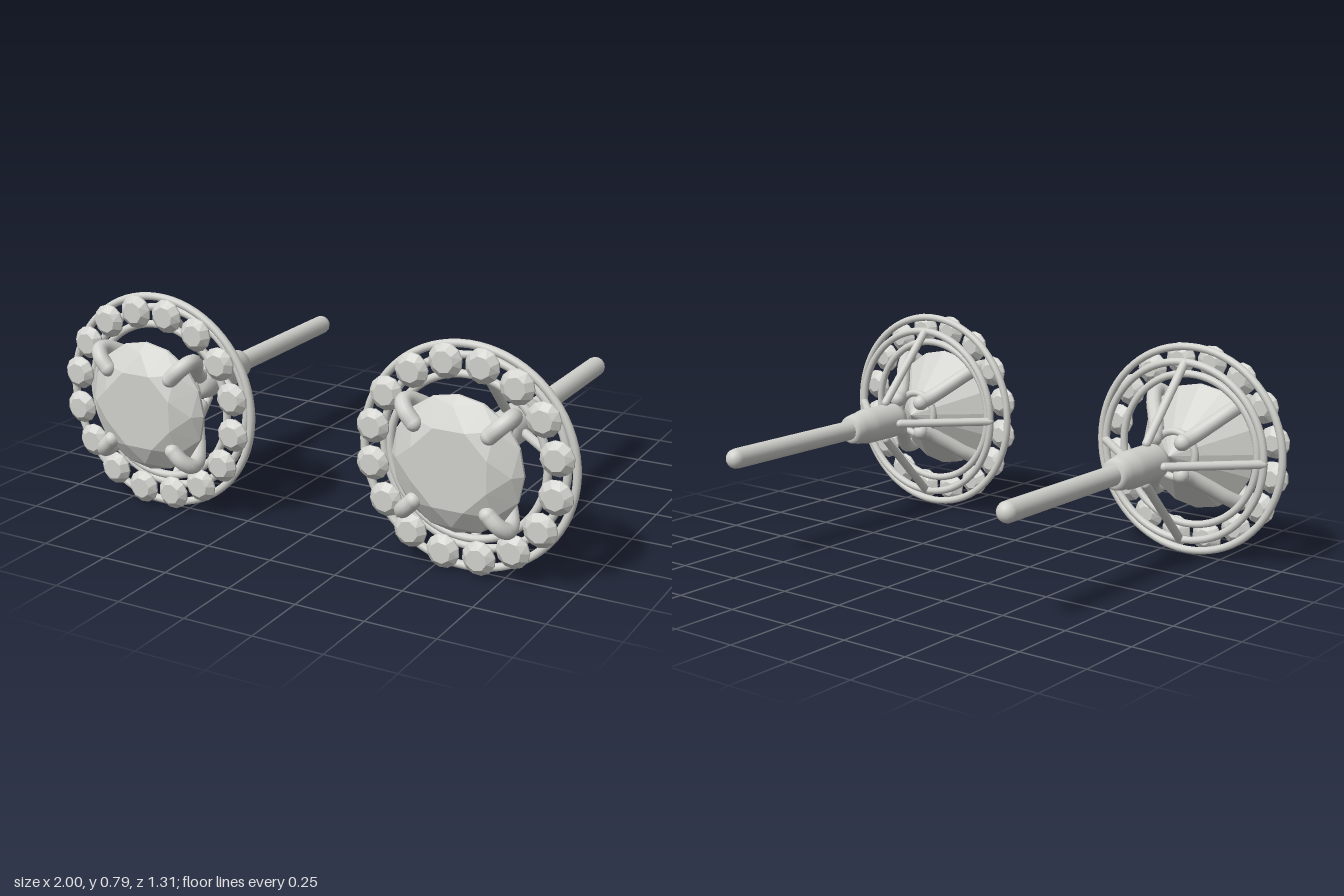
import * as THREE from 'three';
import { ConvexGeometry } from 'three/addons/geometries/ConvexGeometry.js';

const V = (x, y, z) => new THREE.Vector3(x, y, z);

// Points of a regular polygon facing +z
function polygon(n, r, z, turn = 0) {
  return Array.from({ length: n }, (_, i) => {
    const a = ((i + turn) / n) * Math.PI * 2;
    return V(r * Math.cos(a), r * Math.sin(a), z);
  });
}

export function createModel() {
  const metal = new THREE.MeshStandardMaterial({ color: 0xd0d0cc });
  metal.name = 'silver';
  const model = new THREE.Group();
  model.name = 'studEarrings';

  function add(parent, geometry, name) {
    const mesh = new THREE.Mesh(geometry, metal);
    mesh.name = name;
    parent.add(mesh);
    return mesh;
  }

  function ring(parent, radius, tube, z, name) {
    add(parent, new THREE.TorusGeometry(radius, tube, 12, 72), name).position.z = z;
  }

  // Straight wire with rounded ends
  function wire(parent, a, b, radius, name) {
    const dir = b.clone().sub(a);
    const mesh = add(parent, new THREE.CapsuleGeometry(radius, dir.length(), 5, 14), name);
    mesh.position.copy(a).add(b).multiplyScalar(0.5);
    mesh.quaternion.setFromUnitVectors(V(0, 1, 0), dir.normalize());
  }

  // Faceted gems: table, crown, girdle and pavilion
  const centreGem = new ConvexGeometry([
    ...polygon(8, 0.145, 0.645, 0.5),
    ...polygon(8, 0.205, 0.612),
    ...polygon(16, 0.235, 0.58),
    ...polygon(16, 0.235, 0.57),
    V(0, 0, 0.36),
  ]);
  const haloGem = new ConvexGeometry([
    ...polygon(8, 0.038, 0.024, 0.5),
    ...polygon(12, 0.06, 0.003),
    ...polygon(12, 0.06, -0.003),
    ...polygon(8, 0.03, -0.027),
  ]);

  // Claw that rises from the base and hooks over the gem
  const clawPoints = [
    [0.06, 0.35], [0.075, 0.39], [0.115, 0.45], [0.16, 0.51], [0.185, 0.56],
    [0.187, 0.595], [0.165, 0.62], [0.132, 0.625],
  ].map(([d, z]) => V(d, d, z));
  const clawTube = new THREE.TubeGeometry(new THREE.CatmullRomCurve3(clawPoints), 36, 0.028, 12);
  const clawEnd = new THREE.SphereGeometry(0.028, 14, 10);

  // Barrel joining the basket to the post, turned about z
  const barrel = new THREE.LatheGeometry([
    [0, -0.015], [0.042, -0.015], [0.054, -0.002], [0.06, 0.03], [0.061, 0.05],
    [0.067, 0.075], [0.068, 0.1], [0.068, 0.235], [0.064, 0.255], [0.052, 0.275],
    [0.035, 0.285], [0, 0.287],
  ].map(([r, y]) => new THREE.Vector2(r, y)), 32);
  barrel.rotateX(Math.PI / 2);

  for (const side of [1, -1]) {
    const stud = new THREE.Group();
    stud.name = side > 0 ? 'leftEarring' : 'rightEarring';
    stud.position.set(side * 0.605, 0.395, 0);
    model.add(stud);

    add(stud, centreGem, 'centreGem');
    add(stud, barrel, 'barrel');
    wire(stud, V(0, 0, 0), V(0, 0, -0.618), 0.037, 'post');

    // Halo frame, basket ring and claw base ring
    ring(stud, 0.381, 0.014, 0.501, 'outerHaloRing');
    ring(stud, 0.281, 0.014, 0.501, 'innerHaloRing');
    ring(stud, 0.331, 0.014, 0.455, 'basketRing');
    ring(stud, 0.085, 0.014, 0.4, 'clawBaseRing');

    // Sixteen halo gems
    polygon(16, 0.334, 0.539, 0.5).forEach((p, i) => {
      const gem = add(stud, haloGem, 'haloGem');
      gem.position.copy(p);
      gem.rotation.z = ((i + 0.5) / 16) * Math.PI * 2;
    });

    for (let i = 0; i < 4; i++) {
      const quarter = new THREE.Group();
      quarter.name = 'basketQuarter';
      quarter.rotation.z = (i * Math.PI) / 2;
      stud.add(quarter);
      // Slanted strut from barrel to basket ring
      wire(quarter, V(0.33, 0, 0.453), V(0.075, 0, 0.205), 0.016, 'strut');
      // Claw with rounded ends
      add(quarter, clawTube, 'claw');
      add(quarter, clawEnd, 'clawTip').position.copy(clawPoints[clawPoints.length - 1]);
      const foot = add(quarter, clawEnd, 'clawFoot');
      foot.position.copy(clawPoints[0]);
      foot.scale.setScalar(1.1);
    }
  }
  return model;
}
